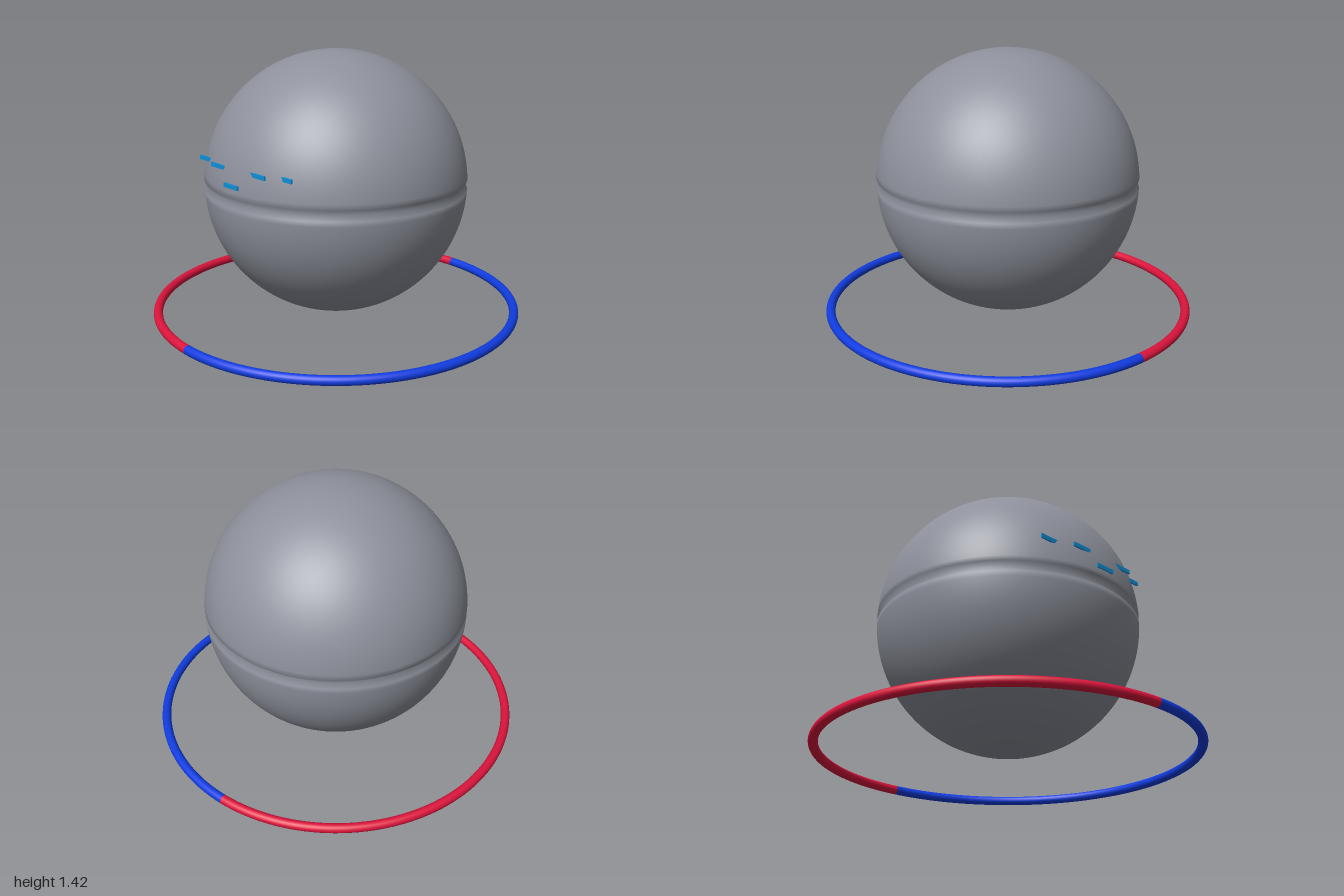
import * as THREE from 'three';

const material = (name, color) => {
  const m = new THREE.MeshStandardMaterial({ color });
  m.name = name;
  return m;
};

export function createModel() {
  const model = new THREE.Group();
  model.name = 'ringedSphere';
  const grey = material('hullGrey', 0x8e919c);
  const red = material('ringRed', 0xdc143c);
  const blue = material('ringBlue', 0x103ce0);
  const cyan = material('windowBlue', 0x1090d8);

  const add = (name, geometry, mat) => {
    const mesh = new THREE.Mesh(geometry, mat);
    mesh.name = name;
    model.add(mesh);
    return mesh;
  };

  // Spherical hull with a narrow groove pressed in at the equator
  const R = 0.702, centerY = 0.722, steps = 80;
  const profile = [];
  for (let i = 0; i <= steps; i++) {
    const a = -Math.PI / 2 + (Math.PI * i) / steps;
    const r = i === steps / 2 ? R - 0.022 : R;
    const x = i === 0 || i === steps ? 0 : r * Math.cos(a);
    profile.push(new THREE.Vector2(x, r * Math.sin(a)));
  }
  add('hull', new THREE.LatheGeometry(profile, 96), grey).position.y = centerY;

  // Ground ring in two coloured halves
  const halfRing = (name, start, mat) => {
    const g = new THREE.TorusGeometry(0.975, 0.0245, 20, 80, Math.PI);
    g.rotateZ(start).rotateX(Math.PI / 2);
    add(name, g, mat).position.y = 0.0245;
  };
  halfRing('leftRingHalf', -Math.PI / 2, blue);
  halfRing('rightRingHalf', Math.PI / 2, red);

  // Thin window plates, partly sunk into the hull: [x, y, front z]
  const windows = [
    [-0.295, 0.884, 0.633], [-0.122, 0.884, 0.681], [0.015, 0.808, 0.704],
    [0.185, 0.884, 0.668], [0.315, 0.884, 0.611],
  ];
  windows.forEach(([x, y, z], i) => {
    add(`window${i + 1}`, new THREE.BoxGeometry(0.112, 0.022, 0.009), cyan)
      .position.set(x, y, z - 0.0045);
  });

  return model;
}
